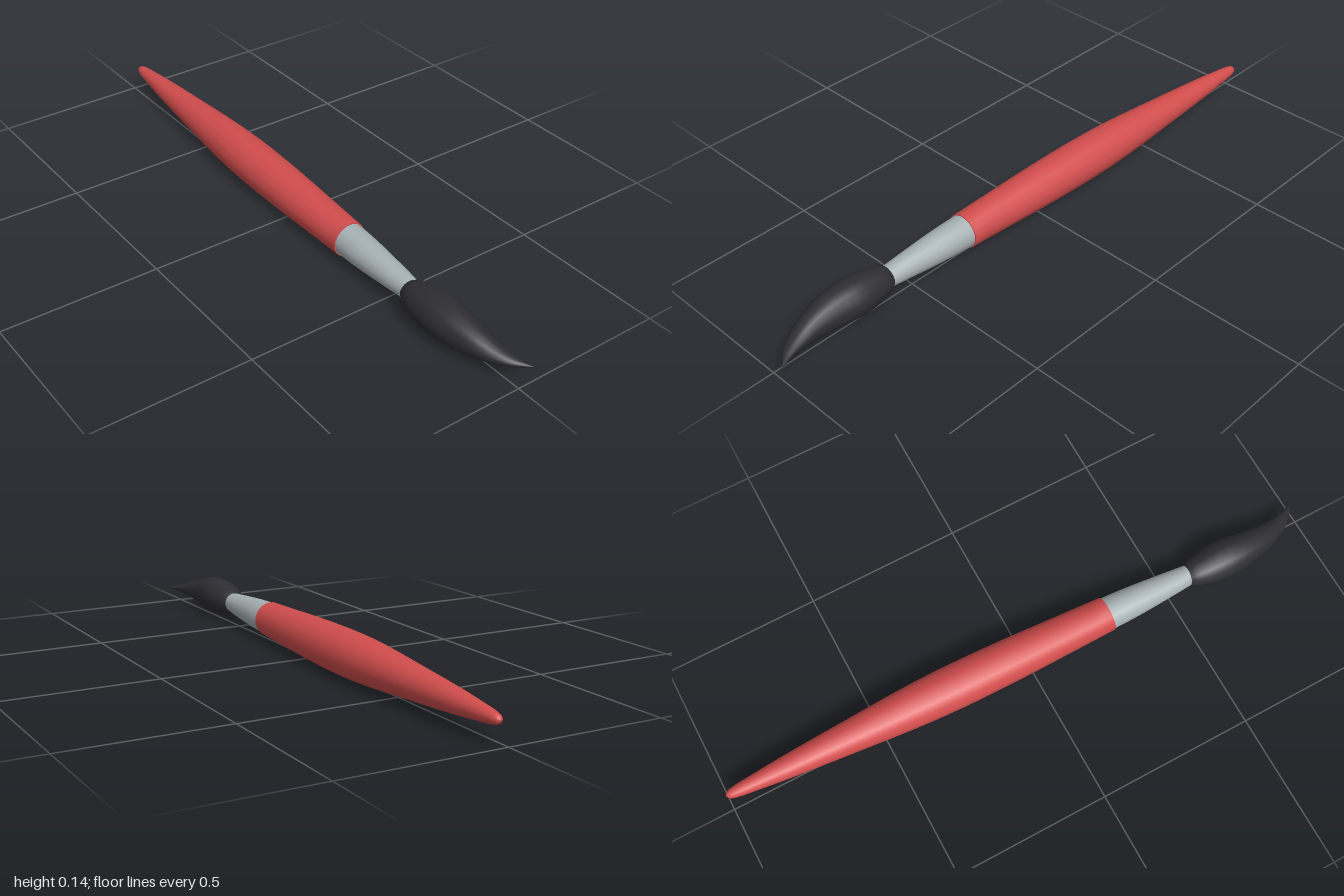
import * as THREE from 'three';

const SIDES = 16;
const red = new THREE.MeshStandardMaterial({ name: 'red lacquer', color: 0xd24d4d });
const steel = new THREE.MeshStandardMaterial({ name: 'grey metal', color: 0xa7b1b3 });
const black = new THREE.MeshStandardMaterial({ name: 'black hair', color: 0x2e2d33 });

// The shaft leans slightly sideways: centre of the axis at a given z
const axisX = (z) => -0.0265 * z;
const axisY = (z) => 0.071 - 0.004 * z;
const onAxis = ([z, r]) => [z, axisX(z), axisY(z), r, r];

// Lofts smooth elliptical rings through stations [z, x, y, radiusX, radiusY]
function loft(stations, steps) {
  const centres = new THREE.CatmullRomCurve3(stations.map(([z, x, y]) => new THREE.Vector3(x, y, z)));
  const radii = new THREE.CatmullRomCurve3(stations.map(([z, , , rx, ry]) => new THREE.Vector3(rx, ry, z)));
  const rings = (stations.length - 1) * steps;
  const position = [], index = [];
  for (let i = 0; i <= rings; i++) {
    const c = centres.getPoint(i / rings), r = radii.getPoint(i / rings);
    for (let j = 0; j < SIDES; j++) {
      const a = ((j + 0.5) / SIDES) * Math.PI * 2;
      position.push(c.x + r.x * Math.cos(a), c.y + r.y * Math.sin(a), c.z);
      if (i === rings) continue;
      const p = i * SIDES + j, q = i * SIDES + ((j + 1) % SIDES);
      index.push(p, q, p + SIDES, q, q + SIDES, p + SIDES);
    }
  }
  const g = new THREE.BufferGeometry();
  g.setAttribute('position', new THREE.Float32BufferAttribute(position, 3));
  g.setIndex(index);
  g.computeVertexNormals();
  return g;
}

// Flat disc closing the front end of a part
function endCap(z, r, material, name) {
  const cap = new THREE.Mesh(new THREE.CircleGeometry(r, SIDES, Math.PI / SIDES), material);
  cap.position.set(axisX(z), axisY(z), z);
  cap.name = name;
  return cap;
}

export function createModel() {
  const brush = new THREE.Group();
  brush.name = 'paintbrush';
  const add = (name, geometry, material) => {
    const mesh = new THREE.Mesh(geometry, material);
    mesh.name = name;
    brush.add(mesh);
  };

  // Long handle, swelling in the middle with a rounded butt
  add('handle', loft([
    [-1, 0.001], [-0.993, 0.011], [-0.97, 0.018], [-0.9, 0.026], [-0.8, 0.036],
    [-0.6, 0.051], [-0.4, 0.065], [-0.25, 0.07], [-0.05, 0.068], [0.12, 0.062], [0.285, 0.056],
  ].map(onAxis), 3), red);
  brush.add(endCap(0.285, 0.056, red, 'handleEnd'));

  // Tapered metal collar
  add('ferrule', loft([[0.27, 0.053], [0.36, 0.05], [0.46, 0.043], [0.575, 0.033]].map(onAxis), 3), steel);
  brush.add(endCap(0.575, 0.033, steel, 'ferruleEnd'));

  // Full bristle head curling to a sideways point
  add('bristles', loft([
    [0.565, -0.018, 0.068, 0.028, 0.028],
    [0.59, -0.018, 0.068, 0.043, 0.042],
    [0.63, -0.019, 0.068, 0.054, 0.053],
    [0.70, -0.02, 0.069, 0.062, 0.061],
    [0.77, -0.022, 0.068, 0.055, 0.057],
    [0.85, -0.017, 0.064, 0.042, 0.042],
    [0.91, -0.004, 0.059, 0.031, 0.025],
    [0.96, 0.016, 0.056, 0.019, 0.012],
    [0.985, 0.034, 0.054, 0.009, 0.006],
    [1, 0.046, 0.054, 0.001, 0.001],
  ], 3), black);

  return brush;
}
